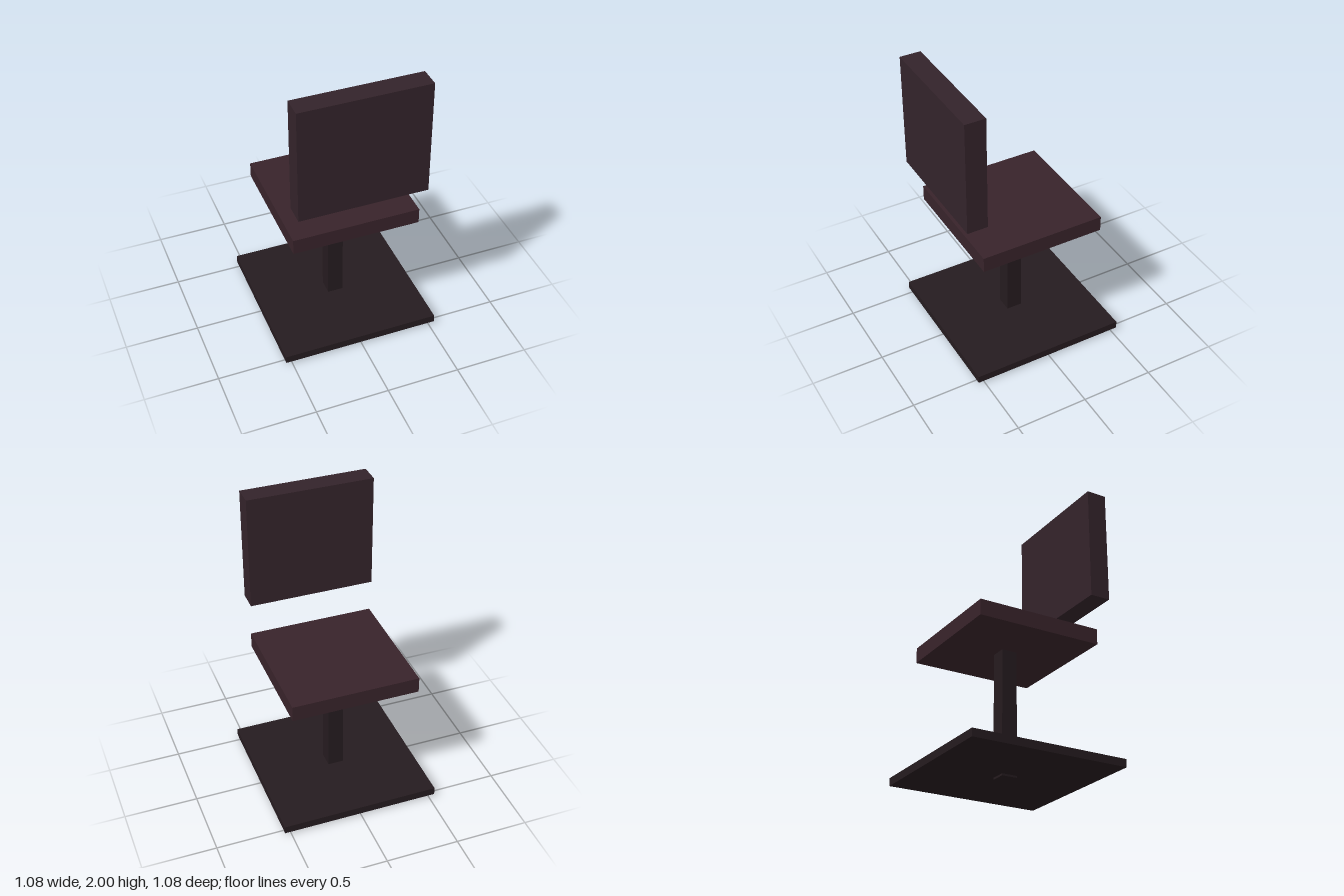
import * as THREE from 'three';

export function createModel() {
  const chair = new THREE.Group();
  chair.name = 'chair';

  const paint = (color) => new THREE.MeshStandardMaterial({ color });
  const cushion = paint(0x38232a);
  const backing = paint(0x33232a);
  const frame = paint(0x251b1f);

  // Box given by its width, vertical span and depth span
  const block = (name, width, [y0, y1], [z0, z1], material) => {
    const mesh = new THREE.Mesh(new THREE.BoxGeometry(width, y1 - y0, z1 - z0), material);
    mesh.name = name;
    mesh.position.set(0, (y0 + y1) / 2, (z0 + z1) / 2);
    chair.add(mesh);
  };

  // Square floor plate, with the post poking slightly below it
  block('base', 1.083, [0.013, 0.066], [-0.542, 0.542], frame);
  block('post', 0.108, [0, 0.87], [-0.054, 0.054], frame);

  // Seat, and the backrest floating above its +z edge
  block('seat', 0.867, [0.856, 0.963], [-0.433, 0.433], cushion);
  block('backrest', 0.867, [1.206, 2], [0.4, 0.542], backing);

  return chair;
}
